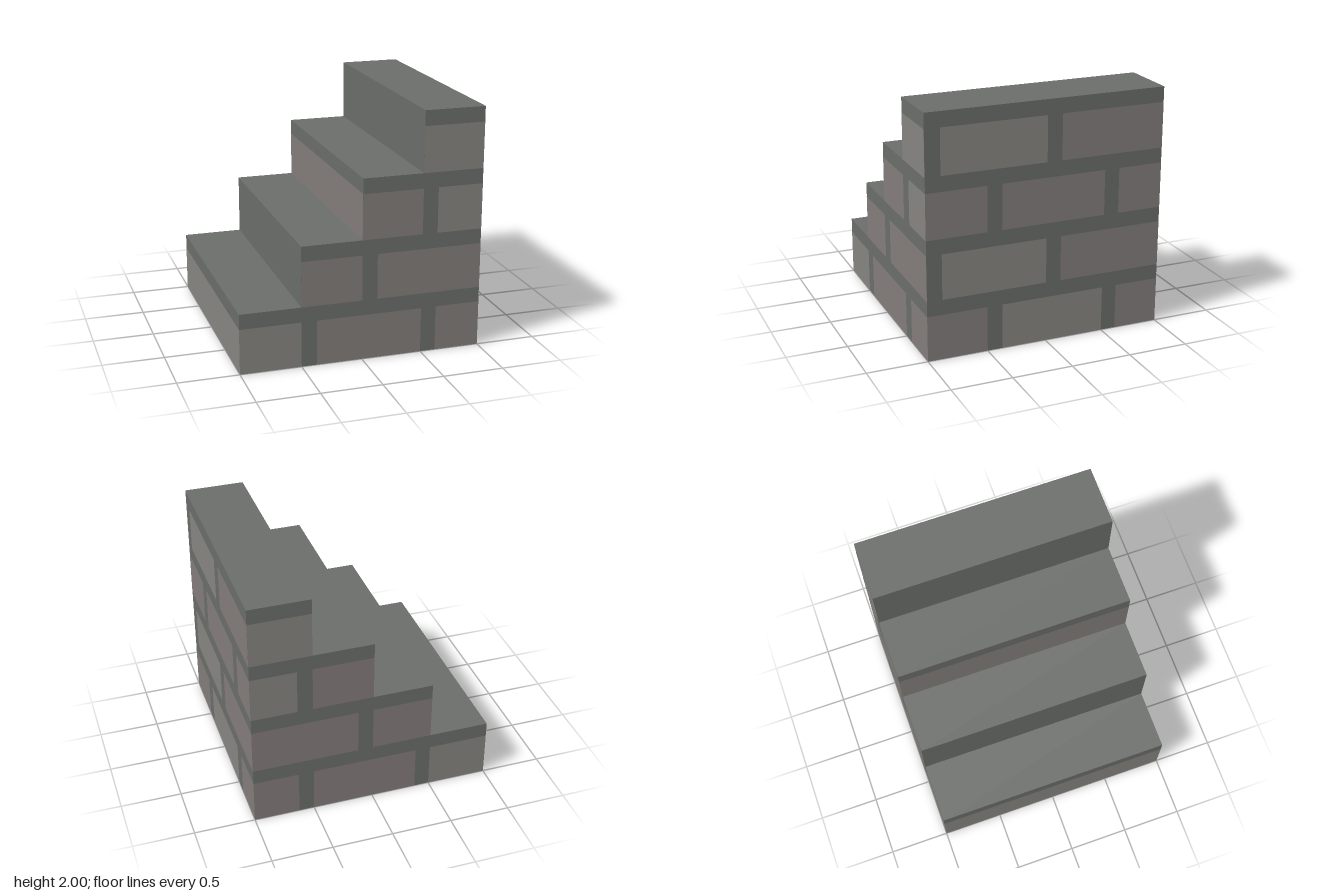
import * as THREE from 'three';

const STEP = 0.5, BRICK_H = 0.375, LIFT = 0.001;
const mat = (color) => new THREE.MeshStandardMaterial({ color, roughness: 1, flatShading: true });

export function createModel() {
  const model = new THREE.Group();
  model.name = 'brickStairs';
  const mortar = mat(0x6a6d69);
  const grey = mat(0x86847f);
  const rose = mat(0x827c7a);

  // Solid stair body: stepped profile rising towards +x
  const profile = new THREE.Shape();
  profile.moveTo(1, 0);
  profile.lineTo(1, 2);
  for (let i = 3; i >= 0; i--) {
    const x = -1 + i * STEP;
    profile.lineTo(x, (i + 1) * STEP);
    profile.lineTo(x, i * STEP);
  }
  const bodyGeo = new THREE.ExtrudeGeometry(profile, { depth: 2, bevelEnabled: false });
  bodyGeo.translate(0, 0, -1);
  const body = new THREE.Mesh(bodyGeo, mortar);
  body.name = 'stairBody';
  model.add(body);

  // Flat brick faces laid in courses; each brick is [start, end, material]
  function brickFace(name, courses, position, rotation, mirror = 1) {
    const face = new THREE.Group();
    face.name = name;
    courses.forEach((course, row) => {
      for (const [a, b, material] of course) {
        const brick = new THREE.Mesh(new THREE.PlaneGeometry(b - a, BRICK_H), material);
        brick.name = 'brick';
        brick.position.set(mirror * (a + b) / 2, row * STEP + BRICK_H / 2, 0);
        face.add(brick);
      }
    });
    face.position.set(...position);
    face.rotation.set(...rotation);
    model.add(face);
  }

  // Stepped sides, front and back
  const stepped = [
    [[-1, -0.5, grey], [-0.375, 0.5, rose], [0.625, 1, rose]],
    [[-0.5, 0, rose], [0.125, 1, rose]],
    [[0, 0.5, rose], [0.625, 1, grey]],
    [[0.5, 1, grey]],
  ];
  brickFace('frontBricks', stepped, [0, 0, 1 + LIFT], [0, 0, 0]);
  brickFace('backBricks', stepped, [0, 0, -1 - LIFT], [0, Math.PI, 0], -1);

  // Tall wall and underside share a full square of brickwork
  const square = [
    [[-1, -0.5, rose], [-0.375, 0.5, grey], [0.625, 1, rose]],
    [[-0.875, 0, grey], [0.125, 1, rose]],
    [[-1, -0.5, rose], [-0.375, 0.5, rose], [0.625, 1, rose]],
    [[-0.875, 0, grey], [0.125, 1, rose]],
  ];
  brickFace('tallWallBricks', square, [1 + LIFT, 0, 0], [0, Math.PI / 2, 0]);
  brickFace('undersideBricks', square, [0, -LIFT, -1], [Math.PI / 2, 0, 0]);

  // Full-width bricks on the first and third risers
  brickFace('firstRiser', [[[-1, 1, grey]]], [-1 - LIFT, 0, 0], [0, -Math.PI / 2, 0]);
  brickFace('thirdRiser', [[[-1, 1, rose]]], [-LIFT, 1, 0], [0, -Math.PI / 2, 0]);

  return model;
}
